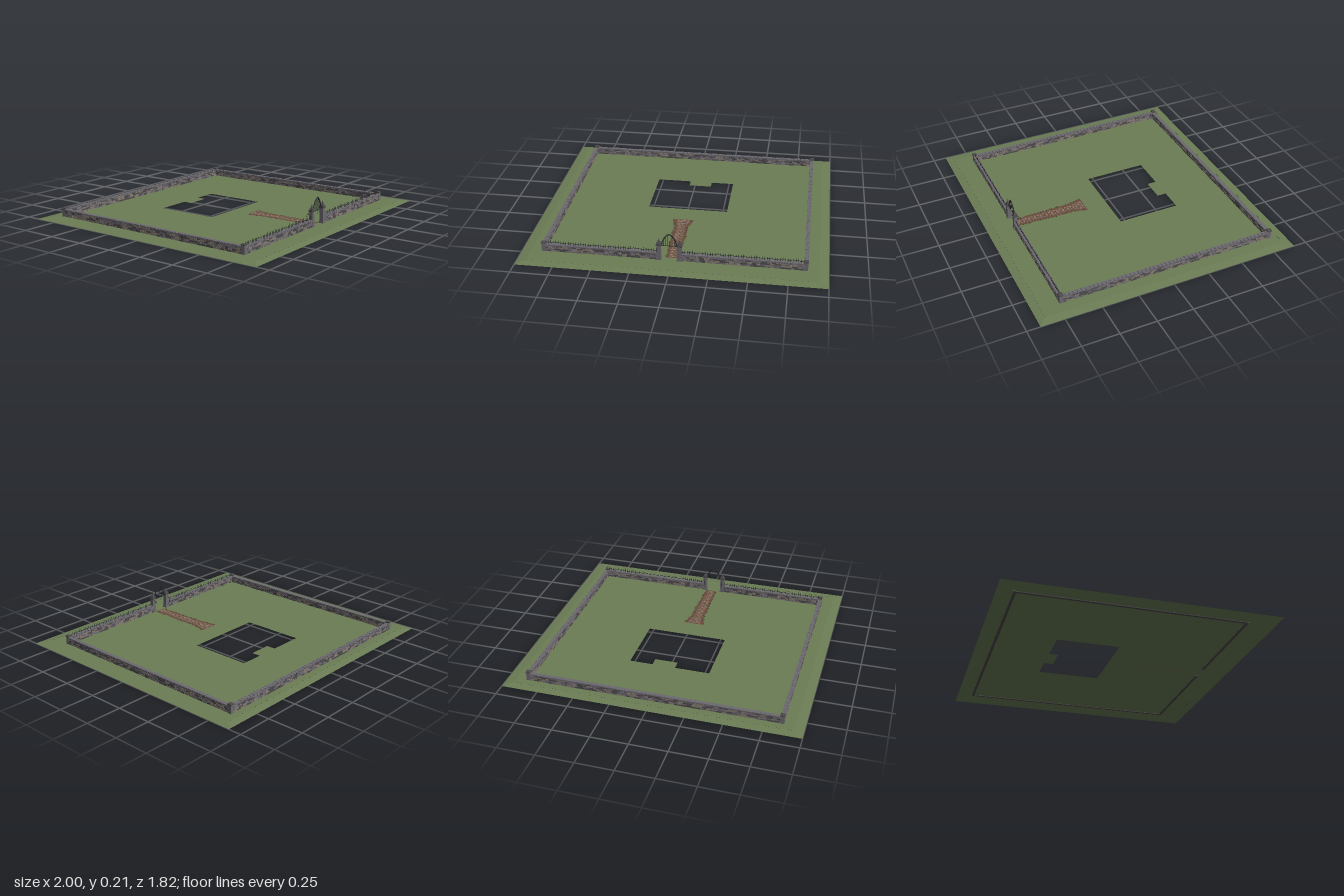
import * as THREE from 'three';
import { mergeGeometries } from 'three/addons/utils/BufferGeometryUtils.js';

const GROUND = 0.007, WX = 0.855, ZB = -0.795, ZF = 0.72;
const GATE_L = 0.045, GATE_R = -0.09, GATE_X = (GATE_L + GATE_R) / 2;

let seed = 7;
const rnd = () => (seed = (seed * 16807) % 2147483647) / 2147483647;
const vary = (a) => (rnd() - 0.5) * 2 * a;

const mat = (color, extra = {}) => {
  const m = new THREE.MeshStandardMaterial({ color, flatShading: true, ...extra });
  return m;
};
const grass = mat(0x6b7d55, { side: THREE.DoubleSide });
const stone = mat(0x6c6970), darkStone = mat(0x4d4a4c), paleStone = mat(0x857b72);
const iron = mat(0x25282b), soil = mat(0x6a4a38, { side: THREE.DoubleSide });

export function createModel() {
  const root = new THREE.Group();
  const add = (name, parts, material) => {
    const mesh = new THREE.Mesh(mergeGeometries(parts), material);
    mesh.name = name;
    root.add(mesh);
  };
  const box = (w, h, d, x, y, z, ry = 0) =>
    new THREE.BoxGeometry(w, h, d).rotateY(ry).translate(x, y, z);

  // lawn with the notched opening for a house
  const poly = (pts) => pts.map(([x, z]) => new THREE.Vector2(x, -z));
  const lawn = new THREE.Shape(poly([[-0.94, 0.855], [0.94, 0.855], [0.94, -0.855], [-0.94, -0.855]]));
  lawn.holes.push(new THREE.Path(poly([
    [-0.28, -0.4], [-0.04, -0.4], [-0.04, -0.335], [0.12, -0.335],
    [0.12, -0.4], [0.28, -0.4], [0.28, 0.035], [-0.28, 0.035]])));
  add('lawn', [new THREE.ShapeGeometry(lawn).rotateX(-Math.PI / 2).translate(0, GROUND, 0)], grass);

  // gently falling rim around the lawn
  const r2 = Math.SQRT2;
  add('lawnRim', [new THREE.CylinderGeometry(0.94 * r2, r2, GROUND, 4, 1, true, Math.PI / 4)
    .scale(1, 1, 0.91).translate(0, GROUND / 2, 0)], grass);

  // walls: solid core, rough stone courses and a row of cap stones
  const cores = [], blocks = [[], [], []], caps = [];
  function wall(x0, z0, x1, z1) {
    const len = Math.hypot(x1 - x0, z1 - z0), ang = Math.atan2(-(z1 - z0), x1 - x0);
    const at = (t) => [x0 + (x1 - x0) * t, z0 + (z1 - z0) * t];
    const [mx, mz] = at(0.5);
    cores.push(box(len, 0.046, 0.017, mx, 0.026, mz, ang));
    for (let row = 0; row < 4; row++) {
      const y = GROUND + 0.005 + row * 0.0108;
      for (let s = 0; s < len - 0.006;) {
        const l = Math.min(0.02 + rnd() * 0.022, len - s);
        const [x, z] = at((s + l / 2) / len);
        blocks[Math.floor(rnd() * 3)].push(
          box(l * 0.93, 0.0098, 0.021 + vary(0.002), x, y + vary(0.0006), z, ang));
        s += l;
      }
    }
    const n = Math.round(len / 0.028);
    for (let i = 0; i < n; i++) {
      const [x, z] = at((i + 0.5) / n);
      caps.push(box(len / n * 0.9, 0.009, 0.026 + vary(0.001), x, 0.053 + vary(0.001), z, ang));
    }
  }
  wall(-WX, ZB, WX, ZB);
  wall(-WX, ZB, -WX, ZF);
  wall(WX, ZB, WX, ZF);
  wall(-WX, ZF, GATE_R, ZF);
  wall(GATE_L, ZF, WX, ZF);
  add('wallCore', cores, darkStone);
  [stone, darkStone, paleStone].forEach((m, i) => add('wallStones' + (i + 1), blocks[i], m));
  add('wallCaps', caps, stone);

  // corner posts with low pyramid caps
  const pyramid = (r, h, x, y, z) => new THREE.ConeGeometry(r * r2, h, 4)
    .rotateY(Math.PI / 4).translate(x, y + h / 2, z);
  const posts = [], postCaps = [];
  for (const x of [-WX, WX]) for (const z of [ZB, ZF]) {
    posts.push(box(0.025, 0.061, 0.025, x, 0.035, z));
    postCaps.push(box(0.031, 0.007, 0.031, x, 0.067, z), pyramid(0.013, 0.007, x, 0.07, z));
  }

  // taller gate posts with plinth, cornice, steep cap and finial
  for (const x of [GATE_L, GATE_R]) {
    posts.push(box(0.027, 0.11, 0.027, x, 0.06, ZF), box(0.033, 0.016, 0.033, x, 0.013, ZF));
    postCaps.push(box(0.035, 0.007, 0.035, x, 0.115, ZF), box(0.028, 0.006, 0.028, x, 0.121, ZF),
      pyramid(0.014, 0.03, x, 0.123, ZF),
      new THREE.SphereGeometry(0.0035, 6, 5).translate(x, 0.153, ZF),
      new THREE.ConeGeometry(0.002, 0.01, 5).translate(x, 0.16, ZF));
  }
  add('posts', posts, stone);
  add('postCaps', postCaps, darkStone);

  // iron railing with pointed bars on the front wall
  const rails = [];
  const bar = (x, y0, y1, r = 0.0012) =>
    rails.push(new THREE.CylinderGeometry(r, r, y1 - y0, 4, 1).translate(x, (y0 + y1) / 2, ZF));
  for (const [a, b] of [[-WX, GATE_R], [GATE_L, WX]]) {
    rails.push(box(b - a, 0.002, 0.002, (a + b) / 2, 0.069, ZF));
    const n = Math.round((b - a) / 0.0165);
    for (let i = 1; i < n; i++) {
      const x = a + (b - a) * i / n, top = i % 5 ? 0.075 : 0.081;
      bar(x, 0.055, top);
      rails.push(new THREE.ConeGeometry(0.0026, 0.008, 4).translate(x, top + 0.003, ZF));
    }
  }
  add('frontRailing', rails.splice(0), iron);

  // pointed iron arch over the gate with hanging bars
  const half = 0.052, base = 0.108, rise = 0.085;
  const archY = (u) => base + rise * Math.pow(1 - Math.abs(u) ** 1.9, 0.75);
  const arc = (k) => new THREE.CatmullRomCurve3(Array.from({ length: 17 }, (_, i) => {
    const u = -Math.cos(Math.PI * i / 16);
    return new THREE.Vector3(GATE_X + u * half * k, base + (archY(u) - base) * k, ZF);
  }));
  rails.push(new THREE.TubeGeometry(arc(1), 32, 0.0028, 5), new THREE.TubeGeometry(arc(0.91), 32, 0.0014, 4),
    box(half * 2, 0.003, 0.003, GATE_X, base, ZF));
  for (let i = -3; i <= 3; i++) bar(GATE_X + i * 0.0125, base, archY(i * 0.0125 / half) - 0.003, 0.0011);
  rails.push(new THREE.ConeGeometry(0.003, 0.014, 5).translate(GATE_X, 0.199, ZF));
  add('gateArch', rails, iron);

  // small curved iron brackets behind the gate posts
  add('gateBrackets', [GATE_L, GATE_R].flatMap((x) => [
    new THREE.TubeGeometry(new THREE.CatmullRomCurve3([[0.098, 0.708], [0.096, 0.694], [0.084, 0.684], [0.062, 0.684]]
      .map(([y, z]) => new THREE.Vector3(x, y, z))), 10, 0.0015, 5),
    new THREE.TubeGeometry(new THREE.CatmullRomCurve3([[0.07, 0.708], [0.08, 0.698], [0.093, 0.69]]
      .map(([y, z]) => new THREE.Vector3(x, y, z))), 8, 0.0012, 5),
  ]), iron);

  // earth path, flared toward the house
  const halfWidth = (z) => 0.047 + 0.026 * Math.max(0, 1 - (z - 0.19) / 0.1) - 0.008 * Math.max(0, (z - 0.4) / 0.3);
  const edge = (s) => Array.from({ length: 27 }, (_, i) => {
    const z = 0.19 + i * 0.51 / 26;
    return [-0.008 + s * (halfWidth(z) + vary(0.003)), z];
  });
  const path = new THREE.Shape(poly([...edge(-1), ...edge(1).reverse()]));
  add('path', [new THREE.ShapeGeometry(path).rotateX(-Math.PI / 2).translate(0, GROUND + 0.0015, 0)], soil);

  // paving stones down the middle, pebbles along both edges
  const paving = [[], []], pebbles = [];
  const rock = (r, x, z) => new THREE.DodecahedronGeometry(r)
    .rotateY(rnd() * 6).scale(1.25, 0.3, 0.9).translate(x, GROUND + 0.002, z);
  for (let i = 0; i < 24; i++) {
    const z = 0.205 + i * 0.0208, w = halfWidth(z);
    const n = w > 0.055 ? 4 : 2 + i % 2;
    for (let j = 0; j < n; j++) {
      const u = (j + 0.5) / n * 2 - 1;
      paving[(i + j) % 2].push(rock(0.0095 + vary(0.0015), -0.008 + u * w * 0.68 + vary(0.003), z + vary(0.003)));
    }
    for (const s of [-1, 1]) pebbles.push(rock(0.005 + vary(0.002), -0.008 + s * (w + vary(0.005)), z + vary(0.008)));
  }
  add('pavingStones', paving[0], mat(0x8f7866));
  add('darkPavingStones', paving[1], mat(0x75685f));
  add('pathPebbles', pebbles, mat(0x4c4238));

  return root;
}
